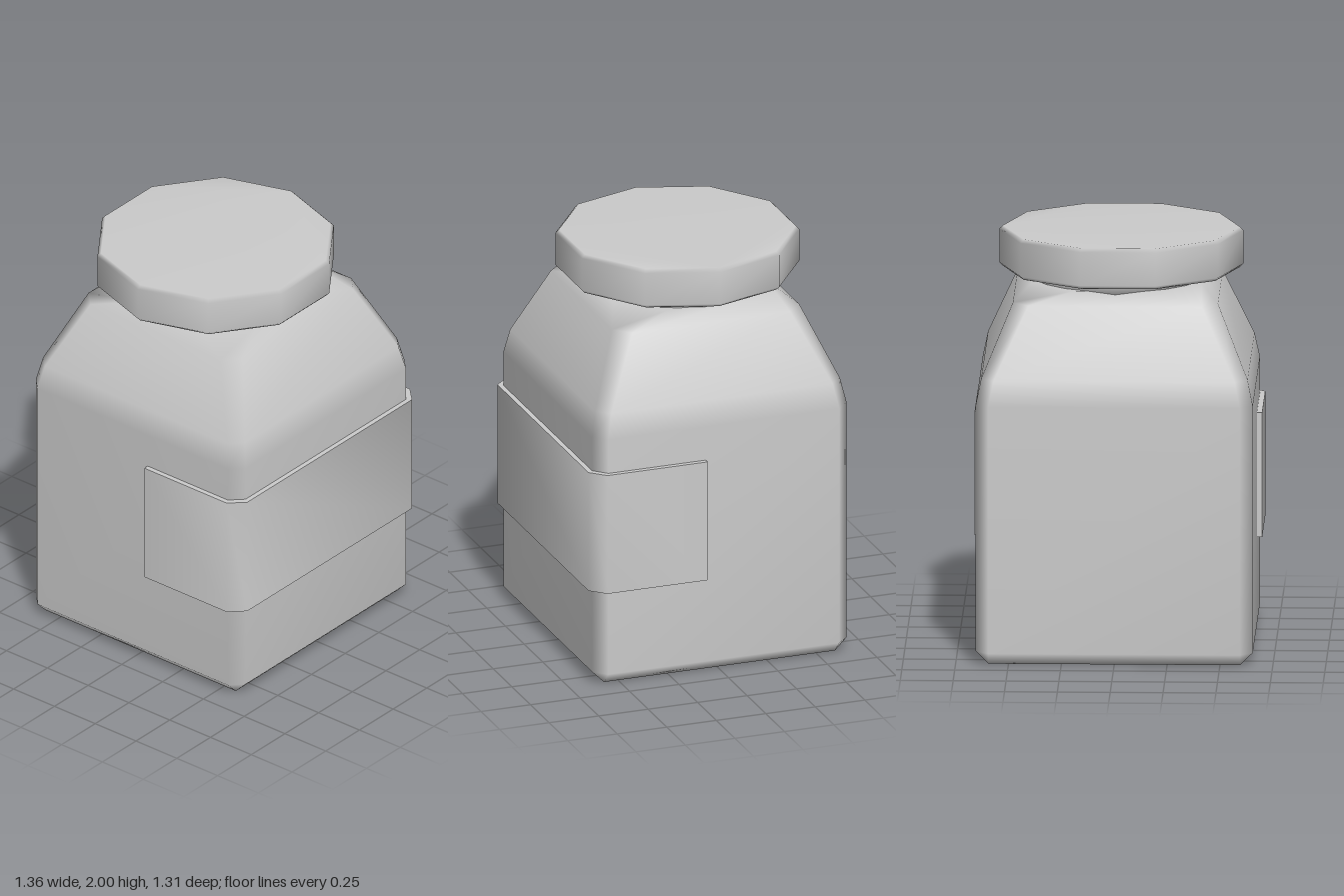
import * as THREE from 'three';
import { mergeVertices, toCreasedNormals } from 'three/addons/utils/BufferGeometryUtils.js';

const material = new THREE.MeshStandardMaterial({ color: 0xcccccc });

// Skins a stack of rings (arrays of [x, y, z], counter-clockwise from above) and caps both ends.
function loft(rings) {
  const n = rings[0].length;
  const index = [];
  const points = rings.flat();
  for (let r = 0; r < rings.length - 1; r++) {
    for (let i = 0; i < n; i++) {
      const a = r * n + i, b = r * n + (i + 1) % n;
      index.push(a, b, b + n, a, b + n, a + n);
    }
  }
  const top = (rings.length - 1) * n;
  for (let i = 1; i < n - 1; i++) {
    index.push(0, i + 1, i);
    index.push(top, top + i, top + i + 1);
  }
  const geometry = new THREE.BufferGeometry();
  geometry.setAttribute('position', new THREE.Float32BufferAttribute(points.flat(), 3));
  geometry.setIndex(index);
  const merged = mergeVertices(geometry, 1e-4);
  merged.computeVertexNormals();
  return merged;
}

// Rectangle with cut corners
function squareRing(y, hx, hz, cut, cz) {
  return [
    [hx, hz - cut], [hx, cut - hz], [hx - cut, -hz], [cut - hx, -hz],
    [-hx, cut - hz], [-hx, hz - cut], [cut - hx, hz], [hx - cut, hz],
  ].map(([x, z]) => [x, y, z + cz]);
}

function roundRing(y, radius, sides, cx, cz) {
  return Array.from({ length: sides }, (_, i) => {
    const a = (i / sides) * Math.PI * 2;
    return [cx + radius * Math.cos(a), y, cz - radius * Math.sin(a)];
  });
}

export function createModel() {
  const group = new THREE.Group();
  const add = (name, geometry) => {
    const mesh = new THREE.Mesh(geometry, material);
    mesh.name = name;
    group.add(mesh);
    return mesh;
  };

  // Square jar with bevelled base and tapering shoulders: y, half width, corner cut
  const profile = [
    [0, 0.595, 0], [0.06, 0.655, 0.06], [1.25, 0.655, 0.06],
    [1.37, 0.63, 0.06], [1.705, 0.485, 0.075], [1.76, 0.4, 0.2],
  ];
  add('jarBody', loft(profile.map(([y, h, cut]) => squareRing(y, h, h - 0.012, cut, -0.012))));

  // Short neck between shoulders and lid
  add('neck', loft([1.73, 1.82].map((y) => roundRing(y, 0.41, 20, 0, -0.01))));

  // Ten-sided lid with softened rims, sitting slightly off centre
  const lid = [[1.805, 0.56], [1.822, 0.577], [1.983, 0.577], [2, 0.56]];
  add('lid', loft(lid.map(([y, r]) => roundRing(y, r, 10, -0.017, -0.03))));

  // Label wrapped round the front and part of both sides (plan outline, front is -y before turning)
  const half = [[0.68, 0.08], [0.68, 0.585], [0.612, 0.655]];
  const inner = [[0.645, 0.08], [0.645, 0.565], [0.59, 0.62]];
  const mirror = (list) => list.map(([x, z]) => [-x, z]).reverse();
  const outline = [...half, ...mirror(half), ...mirror(inner).reverse(), ...inner.slice().reverse()];
  const shape = new THREE.Shape(outline.map(([x, z]) => new THREE.Vector2(x, -z)));
  const labelGeometry = new THREE.ExtrudeGeometry(shape, { depth: 0.6, bevelEnabled: false });
  labelGeometry.rotateX(-Math.PI / 2).translate(0, 0.48, 0);
  add('label', toCreasedNormals(labelGeometry, Math.PI / 3.5));

  return group;
}
